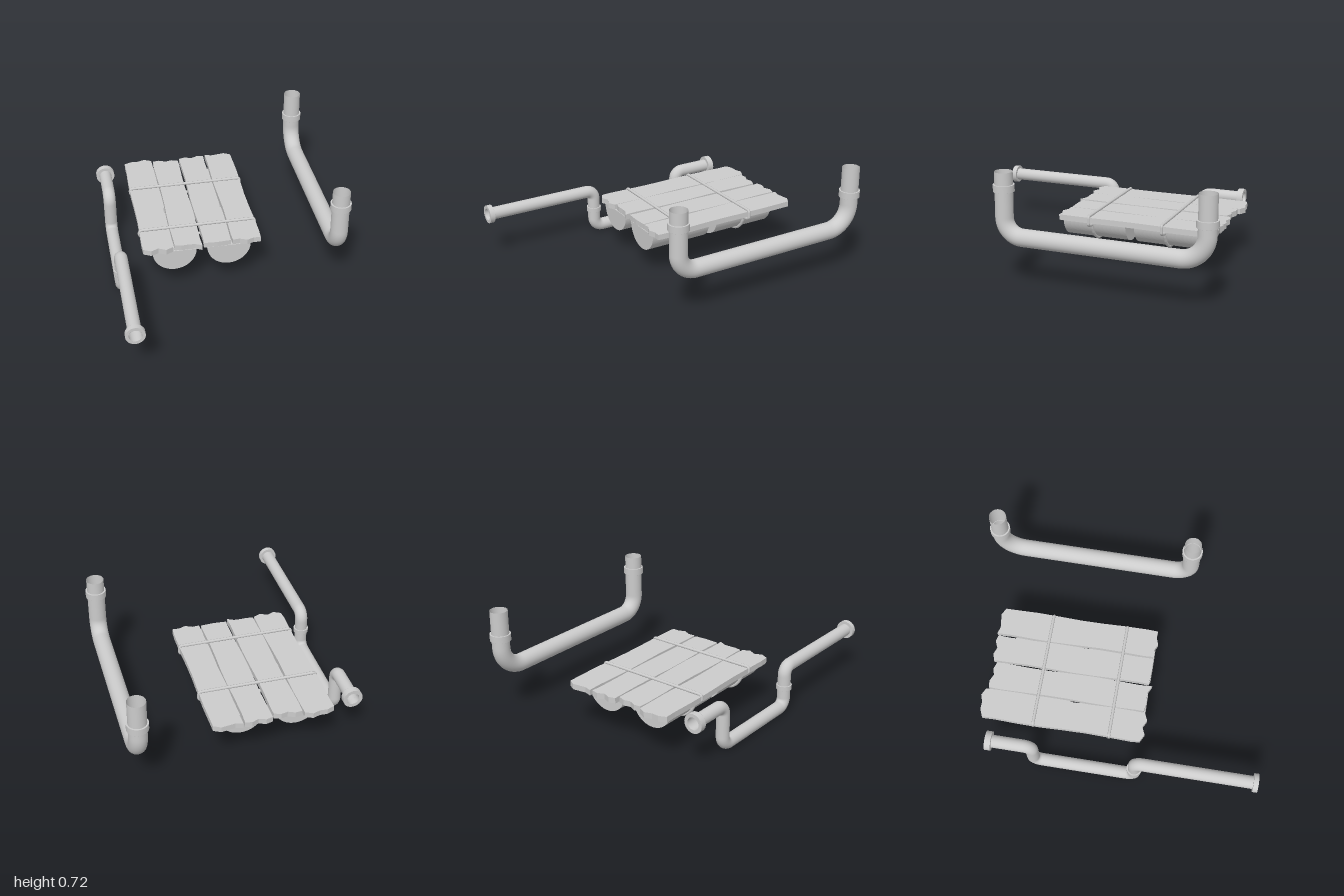
import * as THREE from 'three';

const material = new THREE.MeshStandardMaterial({ color: 0xcccccc, side: THREE.DoubleSide });
const V = (x, y, z) => new THREE.Vector3(x, y, z);

function mesh(name, geometry, parent) {
  const m = new THREE.Mesh(geometry, material);
  m.name = name;
  parent.add(m);
  return m;
}

// Straight runs joined by round corners; bends[i] is the radius at corner i + 1
function bentPath(points, bends) {
  const path = new THREE.CurvePath();
  let start = points[0];
  for (let i = 1; i < points.length - 1; i++) {
    const p = points[i], r = bends[i - 1];
    const toPrev = points[i - 1].clone().sub(p).normalize();
    const toNext = points[i + 1].clone().sub(p).normalize();
    const a = p.clone().addScaledVector(toPrev, r), b = p.clone().addScaledVector(toNext, r);
    path.add(new THREE.LineCurve3(start, a));
    path.add(new THREE.CubicBezierCurve3(a,
      p.clone().addScaledVector(toPrev, r * 0.448),
      p.clone().addScaledVector(toNext, r * 0.448), b));
    start = b;
  }
  path.add(new THREE.LineCurve3(start, points[points.length - 1]));
  return path;
}

// Hollow ring with a square section, along y or z
function collar(name, parent, pos, inner, outer, length, axis) {
  const h = length / 2;
  const corners = [[inner, -h], [outer, -h], [outer, h], [inner, h], [inner, -h]];
  // doubled corners keep the rim edges crisp
  const profile = [];
  for (let i = 0; i < 4; i++) {
    const [a, b] = [corners[i], corners[i + 1]];
    for (const t of [0, 0.02, 0.98]) {
      profile.push(new THREE.Vector2(a[0] + (b[0] - a[0]) * t, a[1] + (b[1] - a[1]) * t));
    }
  }
  profile.push(new THREE.Vector2(inner, -h));
  const ring = mesh(name, new THREE.LatheGeometry(profile, 32), parent);
  if (axis === 'z') ring.rotation.x = Math.PI / 2;
  ring.position.copy(pos);
}

// Large U-shaped pipe with upright open ends
function uPipe() {
  const g = new THREE.Group();
  g.name = 'uPipe';
  const x = 0.69, zf = 0.363, zb = -0.937, y = 0.32;
  const path = bentPath([V(x, 0.73, zf), V(x, y, zf), V(x, y, zb), V(x, 0.73, zb)], [0.12, 0.16]);
  mesh('uPipeTube', new THREE.TubeGeometry(path, 140, 0.057, 28), g);
  collar('frontCollar', g, V(x, 0.627, zf), 0.054, 0.067, 0.045, 'y');
  collar('backCollar', g, V(x, 0.552, zb), 0.054, 0.067, 0.045, 'y');
  return g;
}

// Thin pipe that drops down and rises again, with flanged ends
function steppedPipe() {
  const g = new THREE.Group();
  g.name = 'steppedPipe';
  const x = -0.705, top = 0.32, low = 0.05, zf = 0.2, zb = -0.477;
  const path = bentPath([V(x, top, 0.99), V(x, top, zf), V(x, low, zf),
    V(x, low, zb), V(x, top, zb), V(x, top, -0.76)], [0.055, 0.06, 0.06, 0.055]);
  mesh('steppedPipeTube', new THREE.TubeGeometry(path, 220, 0.042, 24), g);
  collar('frontFlange', g, V(x, top, 0.984), 0.04, 0.061, 0.032, 'z');
  collar('backFlange', g, V(x, top, -0.755), 0.04, 0.063, 0.04, 'z');
  collar('dropCollar', g, V(x, 0.185, zf), 0.04, 0.05, 0.03, 'y');
  return g;
}

const FLOAT_X = [-0.355, 0.002], FLOAT_Y = 0.305, FLOAT_R = 0.143;

// Four half-barrels, flat side up
function addFloats(raft) {
  const half = new THREE.Shape();
  half.absarc(0, 0, FLOAT_R, Math.PI, Math.PI * 2, false);
  half.closePath();
  for (const x of FLOAT_X) {
    for (const [z0, z1] of [[-0.72, -0.28], [-0.22, 0.215]]) {
      const geo = new THREE.ExtrudeGeometry(half, { depth: z1 - z0, bevelEnabled: false, curveSegments: 28 });
      mesh('halfBarrel', geo, raft).position.set(x, FLOAT_Y, z0);
    }
  }
}

// Planks with broken ends and slightly wavy sides
function addPlanks(raft) {
  const planks = [
    { x0: -0.557, x1: -0.364, back: [-0.83, -0.85, -0.848, -0.864, -0.84], front: [0.21, 0.235, 0.213, 0.238, 0.215] },
    { x0: -0.353, x1: -0.176, back: [-0.825, -0.83, -0.81, -0.82, -0.805], front: [0.205, 0.213, 0.21, 0.212, 0.235] },
    { x0: -0.163, x1: 0.015, back: [-0.83, -0.842, -0.825, -0.845, -0.835], front: [0.21, 0.213, 0.215, 0.212, 0.21] },
    { x0: 0.028, x1: 0.212, back: [-0.845, -0.832, -0.838, -0.845, -0.82], front: [0.212, 0.208, 0.23, 0.213, 0.215] },
  ];
  planks.forEach((p, n) => {
    const outline = [];
    const wave = (z, s) => 0.004 * Math.sin(z * 9 + n * 2 + s);
    const endX = (i) => p.x0 + (p.x1 - p.x0) * i / 4;
    p.front.forEach((z, i) => outline.push(new THREE.Vector2(endX(i), -z)));
    for (let z = 0.15; z > -0.8; z -= 0.15) outline.push(new THREE.Vector2(p.x1 + wave(z, 1), -z));
    for (let i = 4; i >= 0; i--) outline.push(new THREE.Vector2(endX(i), -p.back[i]));
    for (let z = -0.75; z < 0.2; z += 0.15) outline.push(new THREE.Vector2(p.x0 + wave(z, 3), -z));
    const geo = new THREE.ExtrudeGeometry(new THREE.Shape(outline), { depth: 0.037, bevelEnabled: false });
    geo.rotateX(-Math.PI / 2);
    mesh('plank', geo, raft).position.y = 0.303 + (n % 2) * 0.002;
  });
}

// Ropes looping over the planks and under the half-barrels
function addRopes(raft) {
  const outline = [[0.205, 0.348], [-0.545, 0.348], [-0.558, 0.338], [-0.558, 0.31]];
  for (const x of FLOAT_X) {
    for (let i = 0; i <= 14; i++) {
      const a = Math.PI * (1.06 + 0.88 * i / 14);
      outline.push([x + Math.cos(a) * 0.153, FLOAT_Y + Math.sin(a) * 0.147]);
    }
  }
  outline.push([0.2, 0.285], [0.214, 0.295], [0.214, 0.338]);
  for (const z of [0.008, -0.492]) {
    const path = new THREE.CurvePath();
    outline.forEach(([x, y], i) => {
      const [x2, y2] = outline[(i + 1) % outline.length];
      path.add(new THREE.LineCurve3(V(x, y, z), V(x2, y2, z)));
    });
    mesh('rope', new THREE.TubeGeometry(path, 220, 0.01, 8, true), raft);
  }
}

export function createModel() {
  const model = new THREE.Group();
  const raft = new THREE.Group();
  raft.name = 'raft';
  addFloats(raft);
  addPlanks(raft);
  addRopes(raft);
  model.add(raft, uPipe(), steppedPipe());
  return model;
}
